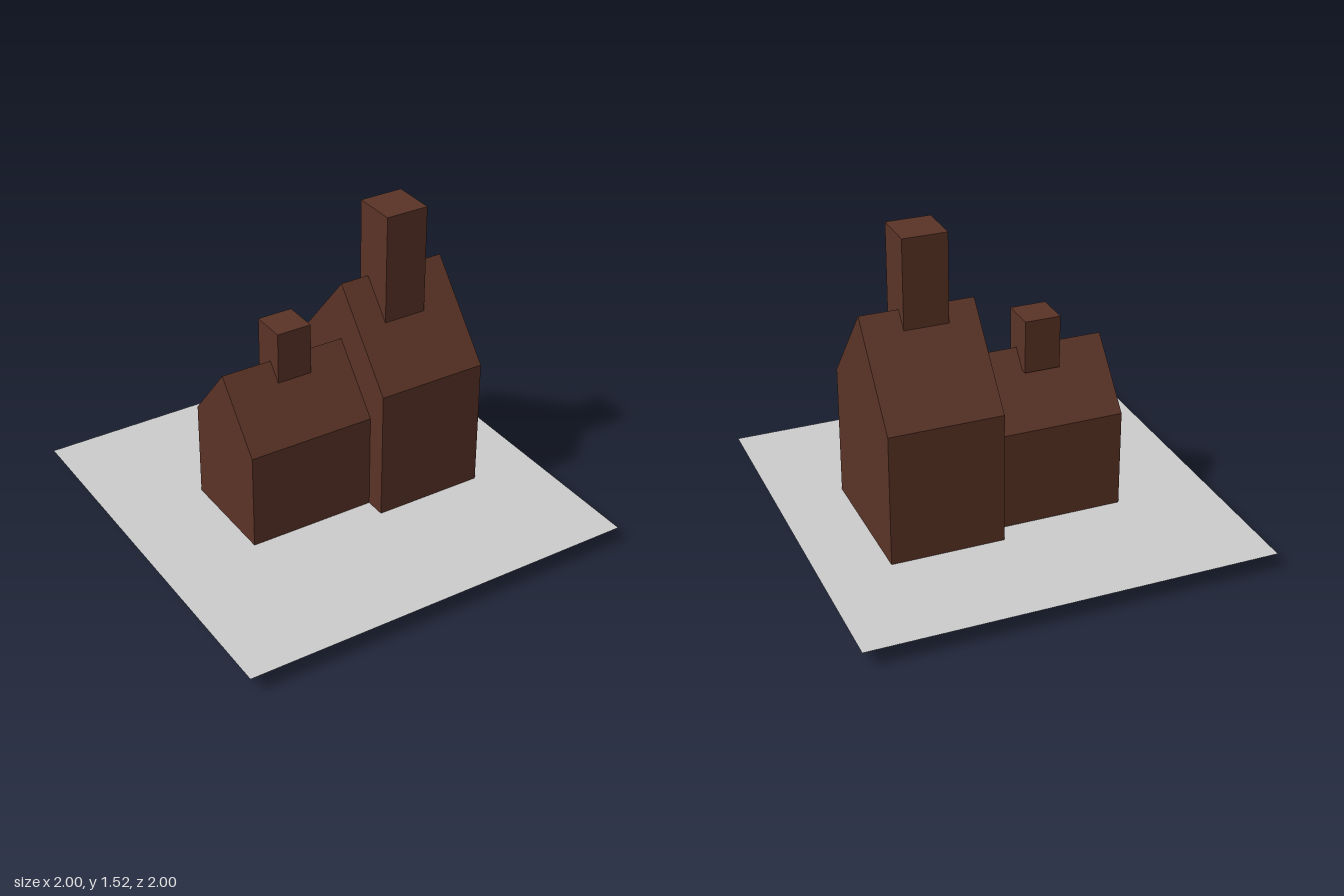
import * as THREE from 'three';

const brick = new THREE.MeshStandardMaterial({ color: 0x5a3326, flatShading: true });
const grey = new THREE.MeshStandardMaterial({ color: 0xcccccc, side: THREE.DoubleSide });

// Gabled block with its ridge along x
function gabledHouse(name, { x0, x1, back, front, bottom, eave, ridge }) {
  const middle = (back + front) / 2;
  // Gable outline, drawn with -z to the right
  const gable = new THREE.Shape([
    [-front, bottom], [-back, bottom], [-back, eave], [-middle, ridge], [-front, eave],
  ].map(([x, y]) => new THREE.Vector2(x, y)));
  const geometry = new THREE.ExtrudeGeometry(gable, { depth: x1 - x0, bevelEnabled: false });
  geometry.rotateY(Math.PI / 2).translate(x0, 0, 0);
  const mesh = new THREE.Mesh(geometry, brick);
  mesh.name = name;
  return mesh;
}

// Square stack whose base is buried in the roof
function chimney(name, x, z, width, bottom, top) {
  const mesh = new THREE.Mesh(new THREE.BoxGeometry(width, top - bottom, width), brick);
  mesh.position.set(x, (bottom + top) / 2, z);
  mesh.name = name;
  return mesh;
}

export function createModel() {
  const model = new THREE.Group();
  model.name = 'house';

  // Thin ground sheet; the foundations reach below it
  const ground = new THREE.Mesh(new THREE.PlaneGeometry(2, 2).rotateX(-Math.PI / 2), grey);
  ground.position.y = 0.077;
  ground.name = 'groundSheet';

  model.add(
    ground,
    gabledHouse('mainHouse', { x0: 0.11, x1: 0.663, back: -0.413, front: 0.313, bottom: 0, eave: 0.73, ridge: 1.16 }),
    gabledHouse('sideWing', { x0: -0.527, x1: 0.115, back: -0.31, front: 0.21, bottom: 0.04, eave: 0.56, ridge: 0.867 }),
    chimney('mainChimney', 0.365, -0.007, 0.217, 0.975, 1.523),
    chimney('wingChimney', -0.187, -0.067, 0.175, 0.78, 1.04),
  );
  return model;
}
